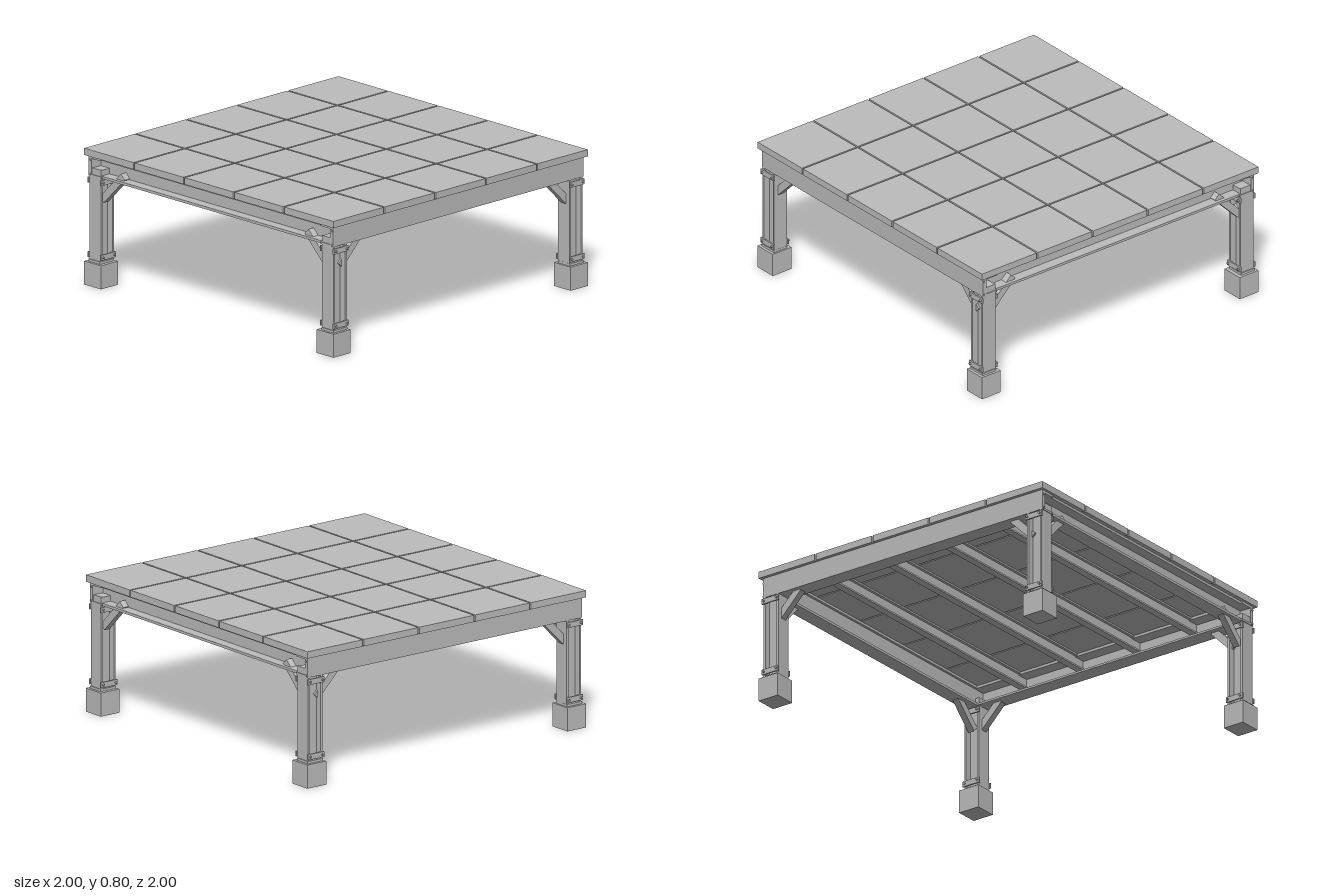
import * as THREE from 'three';

export function createModel() {
  const model = new THREE.Group();
  model.name = 'platform';
  const grey = new THREE.MeshStandardMaterial({ color: 0xbcbcbc });
  grey.name = 'steel grey';

  // Box given by its lower and upper limits on each axis
  function box(parent, name, x0, x1, y0, y1, z0, z1) {
    const mesh = new THREE.Mesh(new THREE.BoxGeometry(x1 - x0, y1 - y0, z1 - z0), grey);
    mesh.position.set((x0 + x1) / 2, (y0 + y1) / 2, (z0 + z1) / 2);
    mesh.name = name;
    parent.add(mesh);
    return mesh;
  }

  // I-section running along z
  function iBeam(name, x, width, y0, y1, flange, halfLength, webX = x) {
    const g = new THREE.Group();
    g.name = name;
    const w = width / 2;
    box(g, 'topFlange', x - w, x + w, y1 - flange, y1, -halfLength, halfLength);
    box(g, 'bottomFlange', x - w, x + w, y0, y0 + flange, -halfLength, halfLength);
    box(g, 'web', webX - 0.006, webX + 0.006, y0 + flange, y1 - flange, -halfLength, halfLength);
    model.add(g);
  }

  // Deck of five by five panels
  const deck = new THREE.Group();
  deck.name = 'deck';
  const half = 0.195;
  for (let i = -2; i <= 2; i++) {
    for (let j = -2; j <= 2; j++) {
      const x0 = i === -2 ? -1 : i * 0.4 - half, x1 = i === 2 ? 1 : i * 0.4 + half;
      const z0 = j === -2 ? -1 : j * 0.4 - half, z1 = j === 2 ? 1 : j * 0.4 + half;
      box(deck, 'deckPanel', x0, x1, 0.76, 0.8, z0, z1);
    }
  }
  model.add(deck);

  // Joists below the panel seams, and side beams
  for (const x of [-0.6, -0.2, 0.2, 0.6]) iBeam('joist', x, 0.045, 0.68, 0.76, 0.01, 0.955);
  for (const s of [-1, 1]) iBeam('sideBeam', s * 0.93, 0.09, 0.64, 0.76, 0.015, 0.955, s * 0.906);

  // Front and back channel beams, flanges turned inwards
  for (const s of [1, -1]) {
    const g = new THREE.Group();
    g.name = s > 0 ? 'frontBeam' : 'backBeam';
    box(g, 'web', -0.985, 0.985, 0.64, 0.76, 0.957, 0.98);
    box(g, 'topFlange', -0.985, 0.985, 0.745, 0.76, 0.88, 0.957);
    box(g, 'bottomFlange', -0.985, 0.985, 0.64, 0.652, 0.88, 0.957);
    g.rotation.y = s > 0 ? 0 : Math.PI;
    model.add(g);
  }

  // Bolt head pointing along x or z
  const boltGeometry = new THREE.CylinderGeometry(0.007, 0.007, 0.012, 6);
  function bolt(parent, x, y, z, alongX) {
    const mesh = new THREE.Mesh(boltGeometry, grey);
    mesh.name = 'bolt';
    mesh.position.set(x, y, z);
    if (alongX) mesh.rotation.z = Math.PI / 2;
    else mesh.rotation.x = Math.PI / 2;
    parent.add(mesh);
  }

  // One corner: footing, H-section post, clamps and two braces
  function corner(sx, sz) {
    const g = new THREE.Group();
    g.name = 'cornerPost';
    const b = (name, x0, x1, y0, y1, z0, z1) => box(g, name,
      Math.min(sx * x0, sx * x1), Math.max(sx * x0, sx * x1), y0, y1,
      Math.min(sz * z0, sz * z1), Math.max(sz * z0, sz * z1));
    b('footing', 0.865, 1, 0, 0.138, 0.865, 1);
    b('basePlate', 0.875, 0.985, 0.138, 0.152, 0.887, 0.983);
    b('postOuterFlange', 0.967, 0.98, 0.152, 0.69, 0.887, 0.98);
    b('postInnerFlange', 0.876, 0.889, 0.152, 0.69, 0.887, 0.98);
    b('postWeb', 0.889, 0.967, 0.152, 0.64, 0.928, 0.94);
    b('postCap', 0.889, 0.967, 0.652, 0.688, 0.887, 0.957);

    // Clamp plates with bolts on the front and rear of the post
    for (const y of [0.177, 0.615]) {
      b('clampPlate', 0.87, 0.987, y - 0.016, y + 0.016, 0.98, 0.989);
      b('clampPlate', 0.87, 0.987, y - 0.016, y + 0.016, 0.878, 0.887);
      for (const x of [0.884, 0.972]) {
        bolt(g, sx * x, y, sz * 0.992, false);
        bolt(g, sx * x, y, sz * 0.874, false);
      }
    }
    for (const y of [0.652, 0.735]) bolt(g, sx * 0.984, y, sz * 0.97, true);

    // Braces at 45 degrees, along the front beam and along the side beam
    const front = b('frontBrace', 0.715, 0.915, 0.557, 0.6, 0.912, 0.952);
    front.position.x = sx * 0.825;
    front.rotation.z = -sx * Math.PI / 4;
    const side = b('sideBrace', 0.914, 0.954, 0.557, 0.6, 0.7, 0.94);
    side.position.set(sx * 0.934, 0.592, sz * 0.822);
    side.rotation.x = sz * Math.PI / 4;
    model.add(g);
  }
  for (const sx of [-1, 1]) for (const sz of [-1, 1]) corner(sx, sz);

  return model;
}
